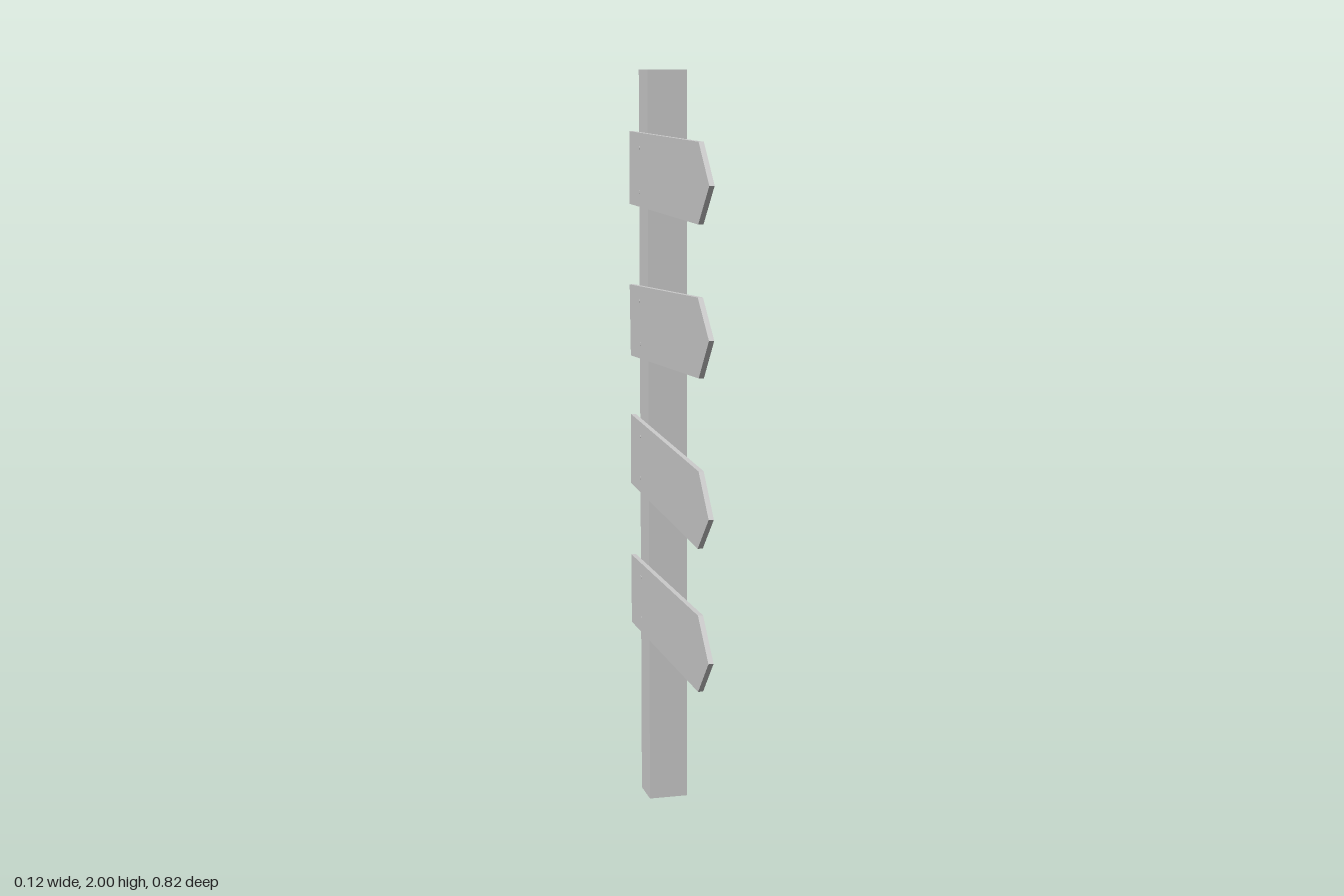
import * as THREE from 'three';

const THICK = 0.013;

export function createModel() {
  const model = new THREE.Group();
  const material = new THREE.MeshStandardMaterial({ color: 0xcccccc, flatShading: true });

  // Square upright post
  const post = new THREE.Mesh(new THREE.BoxGeometry(0.107, 2, 0.097), material);
  post.name = 'post';
  post.position.set(0.0065, 1, -0.298);
  model.add(post);

  // Arrow-shaped board outline, pointing along its own +x
  const outline = new THREE.Shape([
    [-0.406, -0.0975], [0.315, -0.0975], [0.413, 0], [0.315, 0.0975], [-0.406, 0.0975],
  ].map(([x, y]) => new THREE.Vector2(x, y)));
  const boardGeometry = new THREE.ExtrudeGeometry(outline, { depth: THICK, bevelEnabled: false });
  const nailGeometry = new THREE.CylinderGeometry(0.004, 0.004, 0.004, 8).rotateX(Math.PI / 2);

  // Four boards on the post's right face, each nailed on slightly crooked
  const boards = [[1.735, -0.012], [1.346, 0.05], [0.951, -0.04], [0.572, 0.01]];
  for (const [y, tilt] of boards) {
    const sign = new THREE.Group();
    sign.name = 'signBoard';
    sign.position.set(-0.047, y, 0);
    sign.rotation.set(0, -Math.PI / 2, tilt);

    const board = new THREE.Mesh(boardGeometry, material);
    board.name = 'board';
    sign.add(board);

    // Two nail heads where the board meets the post
    for (const side of [-1, 1]) {
      const nail = new THREE.Mesh(nailGeometry, material);
      nail.name = 'nail';
      nail.position.set(-0.29, side * 0.058, THICK - 0.001);
      sign.add(nail);
    }
    model.add(sign);
  }
  return model;
}
